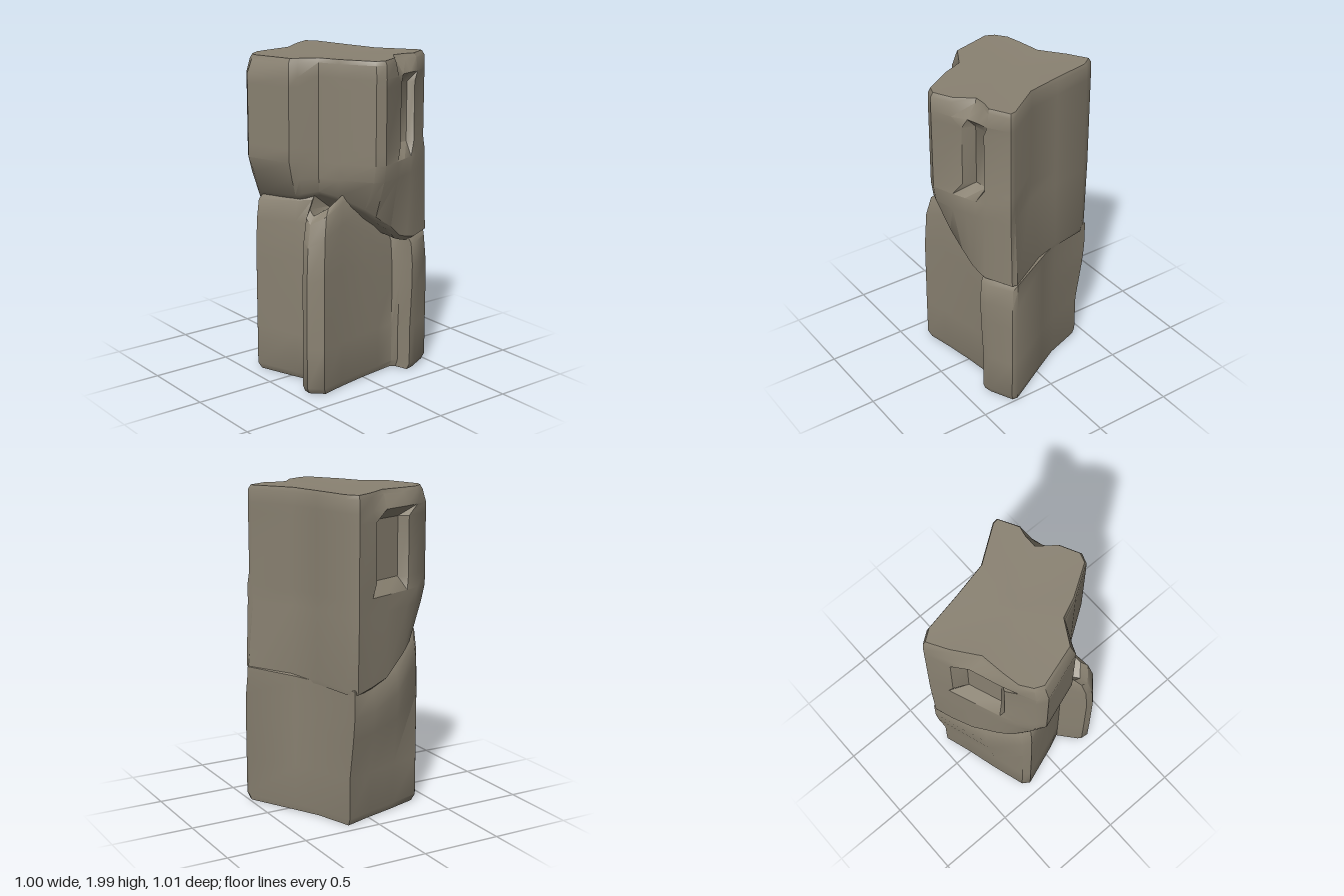
import * as THREE from 'three';
import { mergeVertices, toCreasedNormals } from 'three/addons/utils/BufferGeometryUtils.js';

// Skin a stack of closed rings of [x, y, z], bottom to top, and cap both ends.
function loft(rings, bottomCentre, topCentre) {
  const n = rings[0].length;
  const points = [...rings.flat(), bottomCentre, topCentre];
  const index = [];
  const last = (rings.length - 1) * n;
  for (let i = 0; i < n; i++) {
    const j = (i + 1) % n;
    for (let r = 0; r < rings.length - 1; r++) {
      const a = r * n + i, b = r * n + j;
      index.push(a, b, b + n, a, b + n, a + n);
    }
    index.push(points.length - 2, j, i);
    index.push(points.length - 1, last + i, last + j);
  }
  const g = new THREE.BufferGeometry();
  g.setAttribute('position', new THREE.Float32BufferAttribute(points.flat(), 3));
  g.setIndex(index);
  return toCreasedNormals(mergeVertices(g), 0.65);
}

const inset = (x, z, k, cx = 0, cz = 0) => [cx + (x - cx) * k, cz + (z - cz) * k];

// Upper stone outline near the top, worn back at the front and rear rims
const TOP = [
  [0.15, -0.51], [0.03, -0.44], [-0.12, -0.325], [-0.27, -0.305], [-0.38, -0.285], [-0.47, -0.24],
  [-0.505, -0.18], [-0.41, 0.10], [-0.36, 0.12], [-0.245, 0.165], [-0.19, 0.29], [-0.07, 0.48],
  [-0.01, 0.50], [0.11, 0.44], [0.19, 0.335], [0.27, 0.335], [0.34, 0.35], [0.46, 0.285],
  [0.455, 0.25], [0.30, 0.03], [0.25, -0.19], [0.20, -0.44],
];
// Columns that differ from the top: worn left corner, rim, niches, full faces, taper
const CORNER = { 5: [-0.45, -0.235], 6: [-0.475, -0.18], 7: [-0.395, 0.08], 8: [-0.35, 0.105] };
const RIM = {
  1: [0.03, -0.455], 2: [-0.10, -0.395], 3: [-0.28, -0.33], 13: [0.12, 0.45],
  14: [0.20, 0.395], 15: [0.27, 0.375], 16: [0.34, 0.36],
};
const NICHE = {
  1: [0.0, -0.45], 2: [-0.04, -0.365], 3: [-0.24, -0.29], 4: [-0.30, -0.32],
  13: [0.17, 0.415], 14: [0.20, 0.34], 15: [0.285, 0.33], 16: [0.315, 0.365],
};
const FULL = {
  1: [0.03, -0.46], 2: [-0.10, -0.41], 3: [-0.28, -0.34], 4: [-0.38, -0.295], 13: [0.12, 0.455],
  14: [0.20, 0.42], 15: [0.27, 0.395], 16: [0.33, 0.37], 17: [0.47, 0.29],
};
const TAPER = {
  ...FULL, 4: [-0.37, -0.29], 5: [-0.445, -0.24], 6: [-0.467, -0.18],
  7: [-0.385, 0.09], 8: [-0.345, 0.115], 11: [-0.07, 0.465], 12: [-0.01, 0.485],
};
// Slanting lower edge of the upper stone: x, y, z
const SEAM = [
  [0.15, 0.86, -0.50], [0.03, 0.86, -0.46], [-0.10, 0.89, -0.41], [-0.26, 1.00, -0.335],
  [-0.33, 1.06, -0.295], [-0.385, 1.12, -0.245], [-0.405, 1.16, -0.19], [-0.345, 1.18, 0.07],
  [-0.32, 1.19, 0.10], [-0.23, 1.20, 0.15], [-0.17, 1.18, 0.25], [-0.06, 1.11, 0.37],
  [0, 1.06, 0.40], [0.12, 0.98, 0.395], [0.20, 0.91, 0.38], [0.26, 0.89, 0.375],
  [0.32, 0.88, 0.37], [0.485, 0.88, 0.29], [0.49, 0.88, 0.255], [0.33, 0.87, -0.02],
  [0.255, 0.87, -0.20], [0.20, 0.86, -0.44],
];

function upperStone() {
  const ring = (changes, y, k = 1) => TOP.map((p, i) => {
    const [a, b] = inset(...(changes[i] || p), k);
    return [a, y, b];
  });
  // The right side runs straight down into the lower stone
  const underside = SEAM.map(([x, y, z], i) => {
    const [a, b] = inset(x, z, i >= 18 || i === 0 ? 0.99 : 0.93);
    return [a, y - 0.025, b];
  });
  return loft([
    underside, SEAM, ring(TAPER, 1.29), ring(FULL, 1.39), ring(NICHE, 1.47), ring(NICHE, 1.83),
    ring(RIM, 1.89), ring(CORNER, 1.97, 0.995), ring(CORNER, 1.995, 0.965),
  ], [0, 1.0, 0], [-0.03, 1.985, 0]);
}

// Lower stone footprint with its front hump and corner post: x, z, top height
const BASE = [
  [0.17, -0.44, 0.86], [0, -0.385, 0.87], [-0.2, -0.33, 0.94], [-0.405, -0.265, 1.10],
  [-0.435, -0.22, 1.15], [-0.34, 0.05, 1.18], [-0.30, 0.14, 1.19], [-0.43, 0.25, 1.12],
  [-0.435, 0.30, 1.09], [-0.36, 0.37, 1.14], [-0.2, 0.335, 1.20], [0, 0.30, 1.12],
  [0.12, 0.285, 1.00], [0.24, 0.27, 0.88], [0.275, 0.29, 0.88], [0.30, 0.375, 0.88],
  [0.35, 0.365, 0.88], [0.495, 0.295, 0.88], [0.50, 0.26, 0.88], [0.33, -0.05, 0.87],
  [0.25, -0.2, 0.86],
];

function lowerStone() {
  const CX = 0.15, CZ = -0.05;
  const ring = (height, k, humpK, swell, top = false) => BASE.map(([x, z, y], i) => {
    const hump = i >= 6 && i <= 11;
    const flush = top && (i >= 18 || i === 0);
    // The hump draws in towards its crown
    const [a, b] = inset(x, z, flush ? 0.99 : hump ? humpK : k, CX, CZ);
    // The rear face and the corner post lean outwards higher up
    const lean = i < 3 ? -0.06 : i >= 14 && i <= 16 ? 0.02 : 0;
    return [a, height(y), b + lean * swell];
  });
  return loft([
    ring(() => 0.01, 0.96, 0.96, 0),
    ring(() => 0.05, 1, 1, 0),
    ring(() => 0.3, 1, 1, 0),
    ring((t) => t * 0.65, 1, 0.995, 0.7),
    ring((t) => t - 0.17, 0.99, 0.97, 1, true),
    ring((t) => t - 0.04, 0.965, 0.915, 1, true),
    ring((t) => t, 0.91, 0.84, 1, true),
  ], [CX, 0.015, CZ], [0, 1.05, 0]);
}

export function createModel() {
  const group = new THREE.Group();
  group.name = 'rockPillar';
  const stone = new THREE.MeshStandardMaterial({ color: 0x8a8272 });
  stone.name = 'stone';
  const parts = { upperStone: upperStone(), lowerStone: lowerStone() };
  for (const [name, geometry] of Object.entries(parts)) {
    const mesh = new THREE.Mesh(geometry, stone);
    mesh.name = name;
    group.add(mesh);
  }
  return group;
}
